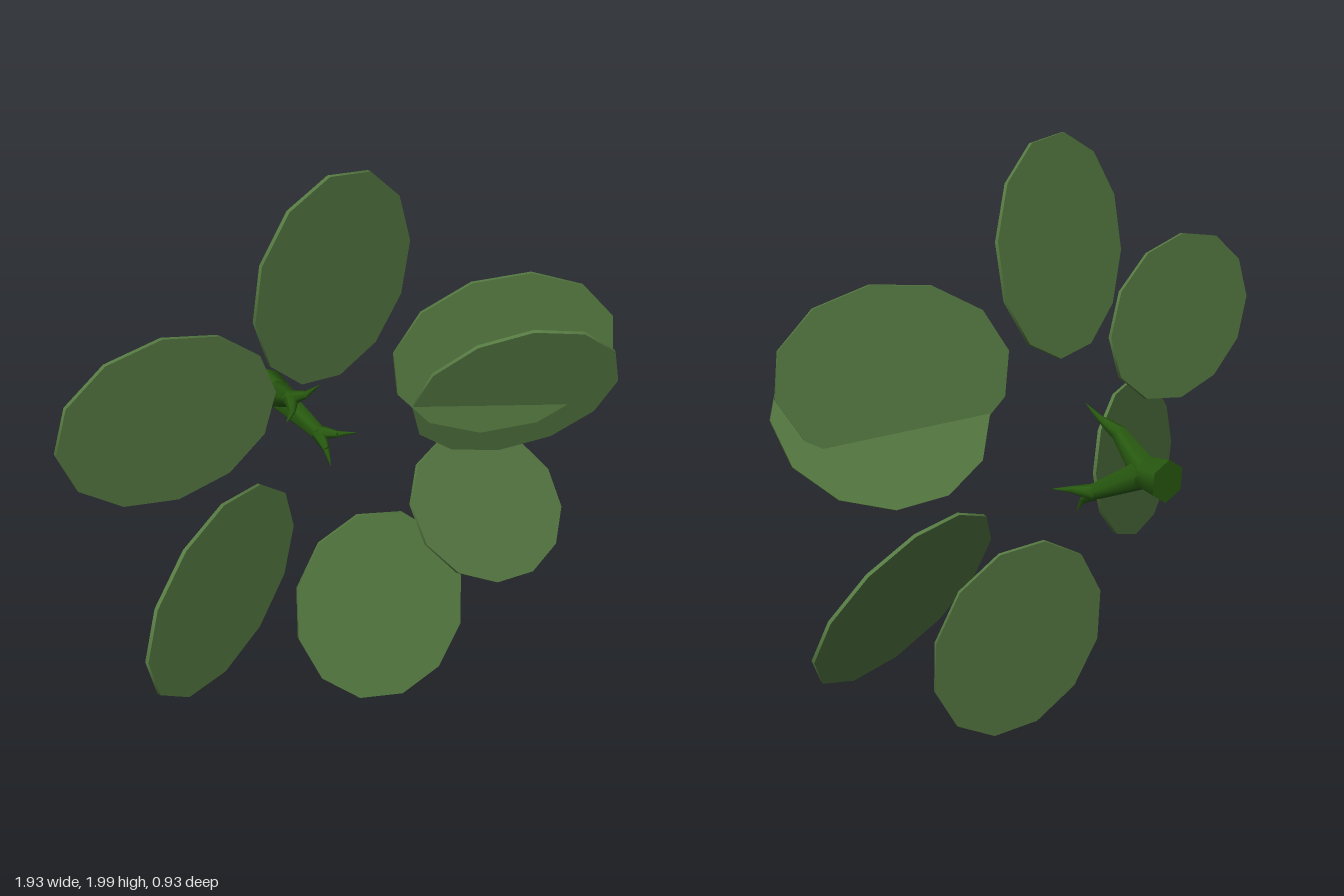
import * as THREE from 'three';

const leafGreen = new THREE.MeshStandardMaterial({ color: 0x567a42 });
leafGreen.name = 'leaf green';
const stemGreen = new THREE.MeshStandardMaterial({ color: 0x285a10 });
stemGreen.name = 'stem green';

const vec = (a) => new THREE.Vector3(...a);

// Thin twelve-sided oval plate: centre, long half-axis up, half-axis across
function makeLeaf(name, centre, up, across) {
  const u = vec(up), v = vec(across);
  const thickness = u.clone().cross(v).setLength(0.012);
  const geometry = new THREE.CylinderGeometry(1, 1, 1, 12);
  geometry.applyMatrix4(new THREE.Matrix4().makeBasis(v, thickness, u).setPosition(vec(centre)));
  const mesh = new THREE.Mesh(geometry, leafGreen);
  mesh.name = name;
  return mesh;
}

// Tapered six-sided limb between two points
function makeLimb(name, from, to, r0, r1) {
  const a = vec(from), b = vec(to), dir = b.clone().sub(a);
  const mesh = new THREE.Mesh(new THREE.CylinderGeometry(r1, r0, dir.length(), 6), stemGreen);
  mesh.position.copy(a).add(b).multiplyScalar(0.5);
  mesh.quaternion.setFromUnitVectors(new THREE.Vector3(0, 1, 0), dir.normalize());
  mesh.name = name;
  return mesh;
}

export function createModel() {
  const model = new THREE.Group();
  model.name = 'leafCluster';

  // Ring of leaves
  const leaves = [
    ['topLeaf', [-0.03, 1.65, 0.11], [-0.055, 0.35, 0.05], [0.303, 0.045, -0.035]],
    ['upperRightLeaf', [-0.60, 1.35, 0.105], [-0.025, 0.283, 0.025], [0.372, -0.022, -0.02]],
    ['lowerRightLeaf', [-0.535, 0.82, 0.26], [0.012, 0.298, -0.005], [0.338, 0.035, -0.135]],
    ['upperLeftLeaf', [0.54, 1.30, 0.25], [0.06, 0.28, 0.03], [0.345, -0.045, 0.135]],
    ['frontLeftLeaf', [0.57, 1.165, 0.28], [-0.035, 0.27, 0.10], [0.31, 0.02, 0.145]],
    ['lowerLeftLeaf', [0.625, 0.63, 0.125], [-0.13, 0.268, -0.11], [0.312, 0.02, -0.045]],
    ['bottomLeaf', [0.18, 0.365, 0.10], [-0.05, 0.355, -0.075], [0.295, 0.055, 0.07]],
  ];
  for (const leaf of leaves) model.add(makeLeaf(...leaf));

  // Forked stem behind the leaves
  const stem = new THREE.Group();
  stem.name = 'stem';
  const fork = [0.073, 1.02, -0.37];
  stem.add(makeLimb('trunk', [0.077, 1.015, -0.46], fork, 0.068, 0.054));
  const arms = [
    { joint: [0.015, 1.1, -0.2], tips: [[-0.09, 1.105, -0.065], [0.055, 1.185, -0.09]] },
    { joint: [0.125, 0.935, -0.2], tips: [[0.22, 0.945, -0.11], [0.115, 0.85, -0.11]] },
  ];
  for (const { joint, tips } of arms) {
    stem.add(makeLimb('arm', fork, joint, 0.05, 0.028));
    // Each twig bends halfway and ends in a point
    for (const tip of tips) {
      const knee = joint.map((j, i) => j + (tip[i] - j) * (i === 2 ? 0.6 : 0.45));
      stem.add(makeLimb('twig', joint, knee, 0.027, 0.012));
      stem.add(makeLimb('twigTip', knee, tip, 0.012, 0.001));
    }
  }
  model.add(stem);
  return model;
}
